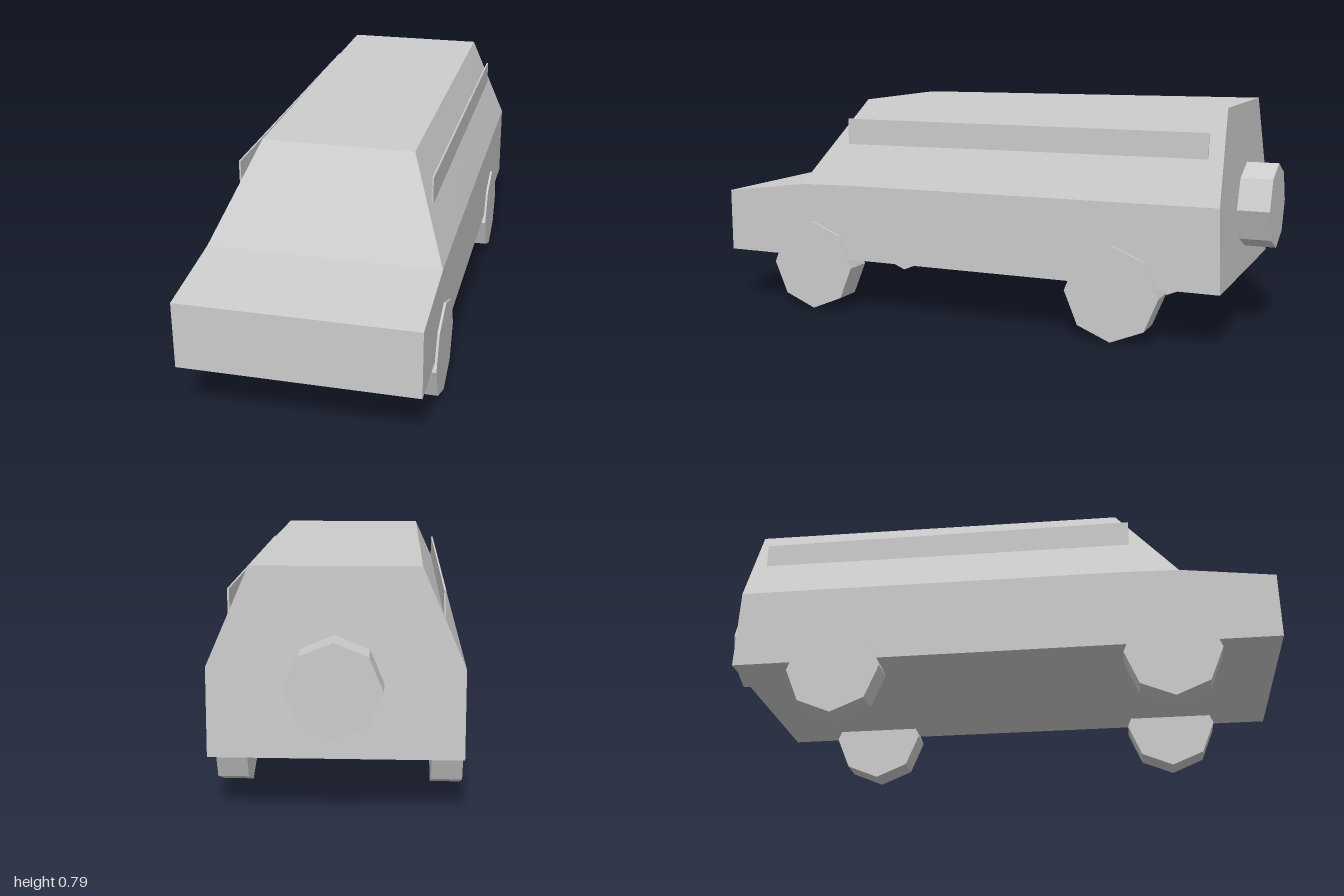
import * as THREE from 'three';

const HALF = 0.395; // half width of the lower body
const ROOF = 0.26;  // half width of the roof

const paint = new THREE.MeshStandardMaterial({ color: 0xcccccc });
paint.name = 'plain grey';

// Six-point ring running over the body from its left sill to its right sill; points are [halfWidth, y, z]
function ring(sill, belt, top) {
  const left = [sill, belt, top];
  const right = [top, belt, sill].map(([x, y, z]) => [-x, y, z]);
  return [...left, ...right].map((p) => new THREE.Vector3(...p));
}

// Flat-faced skin through the rings, front to back, capped at both ends
function loft(rings) {
  const points = [];
  const face = (a, b, c) => {
    if (new THREE.Triangle(a, b, c).getArea() > 1e-7) points.push(a, b, c);
  };
  const n = rings[0].length;
  for (let i = 0; i < rings.length - 1; i++) {
    for (let j = 0; j < n; j++) {
      const k = (j + 1) % n;
      const a = rings[i][j], b = rings[i][k], c = rings[i + 1][k], d = rings[i + 1][j];
      face(a, d, c);
      face(a, c, b);
    }
  }
  const front = rings[0], back = rings[rings.length - 1];
  for (let j = 1; j < n - 1; j++) {
    face(front[0], front[j], front[j + 1]);
    face(back[0], back[j + 1], back[j]);
  }
  const geometry = new THREE.BufferGeometry().setFromPoints(points);
  geometry.computeVertexNormals();
  return geometry;
}

// Eight-sided wheel with a corner pointing up, axle along z
function wheelGeometry(radius, width) {
  const geometry = new THREE.CylinderGeometry(radius, radius, width, 8).rotateX(Math.PI / 2).toNonIndexed();
  geometry.computeVertexNormals();
  return geometry;
}

export function createModel() {
  const model = new THREE.Group();
  model.name = 'van';
  const add = (name, geometry, x = 0, y = 0, z = 0) => {
    const mesh = new THREE.Mesh(geometry, paint);
    mesh.name = name;
    mesh.position.set(x, y, z);
    model.add(mesh);
    return mesh;
  };

  // Body: bonnet, windscreen, cabin and leaning tail
  const noseEdge = [HALF, 0.425, 1], cowl = [HALF, 0.467, 0.675];
  add('body', loft([
    ring([HALF, 0.196, 1], noseEdge, noseEdge),
    ring([HALF, 0.196, 0.675], cowl, cowl),
    ring([HALF, 0.196, 0.465], [HALF, 0.472, 0.465], [ROOF, 0.778, 0.465]),
    ring([HALF, 0.196, -0.895], [HALF, 0.478, -0.886], [ROOF, 0.787, -0.874]),
  ]));

  // Road wheels and roof-side rails, mirrored left and right
  for (const [side, s] of [['left', 1], ['right', -1]]) {
    for (const [end, z] of [['Front', 0.635], ['Rear', -0.53]]) {
      add(`${side}${end}Wheel`, wheelGeometry(0.165, 0.102).rotateY(Math.PI / 2), s * 0.352, 0.165, z);
    }
    add(`${side}Rail`, new THREE.BoxGeometry(0.006, 0.1, 1.34), s * 0.328, 0.66, -0.16);
  }

  // Spare wheel on the tail
  add('spareWheel', wheelGeometry(0.148, 0.11), 0, 0.434, -0.945);

  return model;
}
